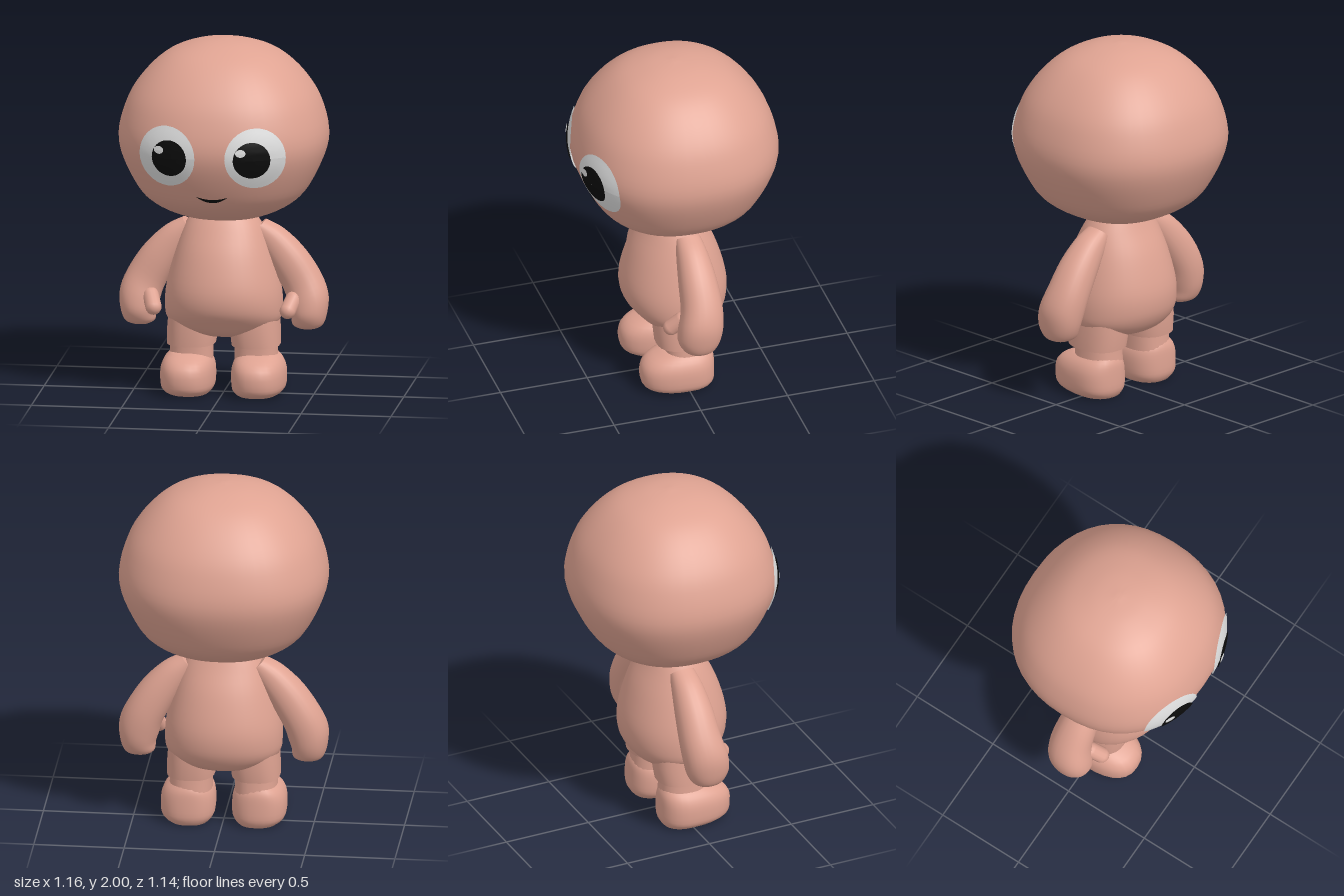
import * as THREE from 'three';
import { toCreasedNormals } from 'three/addons/utils/BufferGeometryUtils.js';

const material = (name, color, side = THREE.FrontSide) => {
  const m = new THREE.MeshStandardMaterial({ color, side });
  m.name = name;
  return m;
};

// Resample rows of ring values with a Catmull-Rom curve
function smoothRings(rings, steps = 4) {
  const out = [];
  for (let i = 0; i < rings.length - 1; i++) {
    const [a, b, c, d] = [i - 1, i, i + 1, i + 2].map(k => rings[Math.min(Math.max(k, 0), rings.length - 1)]);
    for (let s = 0; s < steps; s++) {
      const t = s / steps;
      out.push(b.map((v, k) => v + 0.5 * t * (c[k] - a[k] +
        t * (2 * a[k] - 5 * v + 4 * c[k] - d[k] + t * (3 * (v - c[k]) + d[k] - a[k])))));
    }
  }
  out.push(rings[rings.length - 1]);
  return out;
}

// Closed solid through rings [x, y, z, radiusX, radiusFront, radiusBack, tilt], top to bottom
function loft(rows, n = 2, seg = 32) {
  const pos = [], index = [];
  const bend = v => Math.sign(v) * Math.abs(v) ** (2 / n);
  for (const [x, y, z, rx, rf, rb, tilt] of rows) {
    for (let j = 0; j < seg; j++) {
      const a = j / seg * Math.PI * 2;
      const u = bend(Math.cos(a)) * rx, w = bend(Math.sin(a));
      pos.push(x + u * Math.cos(tilt), y + u * Math.sin(tilt), z + w * (w > 0 ? rf : rb));
    }
  }
  const last = (rows.length - 1) * seg, top = rows.length * seg;
  pos.push(...rows[0].slice(0, 3), ...rows[rows.length - 1].slice(0, 3));
  for (let j = 0; j < seg; j++) {
    const k = (j + 1) % seg;
    for (let r = 0; r < last; r += seg) {
      index.push(r + j, r + k, r + seg + j, r + k, r + seg + k, r + seg + j);
    }
    index.push(top, k, j, top + 1, last + j, last + k);
  }
  const g = new THREE.BufferGeometry();
  g.setAttribute('position', new THREE.Float32BufferAttribute(pos, 3));
  g.setIndex(index);
  return toCreasedNormals(g, 1.0);
}

// Head profile: height and radius
const HEAD_N = 2.25;
const headRows = smoothRings([
  [2.0, 0.005], [1.98, 0.155], [1.915, 0.315], [1.79, 0.45], [1.635, 0.54], [1.43, 0.576],
  [1.21, 0.49], [1.095, 0.39], [1.016, 0.22], [0.985, 0.02],
].map(([y, r]) => [0, y, 0, r, r * 0.98, r * 0.98, 0]), 5);

// Depth of the face at a given x and y
function faceZ(x, y) {
  const i = Math.max(1, headRows.findIndex(r => r[1] <= y));
  const a = headRows[i - 1], b = headRows[i];
  const r = THREE.MathUtils.lerp(a[3], b[3], (a[1] - y) / (a[1] - b[1]));
  return 0.98 * r * Math.max(0, 1 - (Math.abs(x) / r) ** HEAD_N) ** (1 / HEAD_N);
}

// Thin patch that follows the face; place(u, v) returns [x, y]
function facePatch(place, lift, nu, nv) {
  const pos = [], index = [];
  for (let i = 0; i <= nu; i++) {
    for (let j = 0; j <= nv; j++) {
      const [x, y] = place(i / nu, j / nv);
      pos.push(x, y, faceZ(x, y) + lift);
      if (i < nu && j < nv) {
        const a = i * (nv + 1) + j, b = a + nv + 1;
        index.push(a, b, b + 1, a, b + 1, a + 1);
      }
    }
  }
  const g = new THREE.BufferGeometry();
  g.setAttribute('position', new THREE.Float32BufferAttribute(pos, 3));
  g.setIndex(index);
  g.computeVertexNormals();
  return g;
}

const faceDisc = (cx, cy, rx, ry, lift) => facePatch((u, v) => {
  const a = -u * Math.PI * 2, r = Math.max(v, 0.01);
  return [cx + Math.cos(a) * rx * r, cy + Math.sin(a) * ry * r];
}, lift, 32, 7);

export function createModel() {
  const model = new THREE.Group();
  model.name = 'figure';
  const skin = material('skin', 0xdfa392);
  const white = material('eye white', 0xe0e0e0, THREE.DoubleSide);
  const black = material('black', 0x0c0c0c, THREE.DoubleSide);
  const add = (name, geometry, mat = skin) => {
    const mesh = new THREE.Mesh(geometry, mat);
    mesh.name = name;
    model.add(mesh);
    return mesh;
  };

  add('head', loft(headRows, HEAD_N, 48));

  // Pear-shaped torso: height, half width, front depth, back depth
  add('torso', loft(smoothRings([
    [1.02, 0.17, 0.13, 0.13], [0.94, 0.22, 0.18, 0.165], [0.8, 0.27, 0.25, 0.23],
    [0.62, 0.315, 0.3, 0.28], [0.5, 0.325, 0.29, 0.28], [0.42, 0.31, 0.235, 0.25],
    [0.365, 0.24, 0.18, 0.2], [0.335, 0.14, 0.11, 0.13],
  ].map(([y, rx, f, b]) => [0, y, 0, rx, f, b, 0])), 2.1, 40));

  // Smile
  add('mouth', facePatch((u, v) => {
    const s = 2 * u - 1;
    return [s * 0.088, 1.168 + 0.037 * s * s + v * 0.02 * (1 - s * s)];
  }, 0.007, 20, 2), black);

  for (const s of [1, -1]) {
    const side = s > 0 ? 'left' : 'right';
    const mirror = rings => rings.map(([x, y, z, rx, f, b, t = 0]) => [x * s, y, z, rx, f, b, t * s]);

    // Eye
    add(side + 'EyeWhite', faceDisc(s * 0.245, 1.435, 0.162, 0.172, 0.009), white);
    add(side + 'Pupil', faceDisc(s * 0.23, 1.43, 0.1, 0.103, 0.017), black);
    add(side + 'EyeGlint', faceDisc(s * 0.23 - 0.058, 1.475, 0.028, 0.022, 0.022), white);

    // Arm with closed hand
    add(side + 'Arm', loft(smoothRings(mirror([
      [0.19, 0.94, -0.02, 0.055, 0.07, 0.07, 0.75], [0.265, 0.87, -0.02, 0.085, 0.085, 0.09, 0.75],
      [0.355, 0.76, -0.02, 0.105, 0.1, 0.11, 0.7], [0.43, 0.64, -0.02, 0.112, 0.11, 0.12, 0.6],
      [0.468, 0.54, -0.005, 0.115, 0.12, 0.13, 0.35], [0.475, 0.46, 0, 0.1, 0.12, 0.12, 0.1],
      [0.467, 0.4, 0, 0.085, 0.09, 0.09, 0], [0.465, 0.378, 0, 0.05, 0.05, 0.05, 0],
    ])), 2.2, 24));
    const thumb = add(side + 'Thumb', new THREE.CapsuleGeometry(0.045, 0.08, 6, 14));
    thumb.position.set(s * 0.385, 0.525, 0.105);
    thumb.quaternion.setFromUnitVectors(new THREE.Vector3(0, 1, 0),
      new THREE.Vector3(s * 0.03, 0.07, -0.07).normalize());

    // Short trouser leg, ankle and rounded shoe
    add(side + 'Thigh', loft(mirror([
      [0.17, 0.5, 0, 0.13, 0.17, 0.18], [0.173, 0.38, 0, 0.138, 0.17, 0.18],
      [0.18, 0.28, 0, 0.134, 0.16, 0.165],
    ]), 2.5, 28));
    add(side + 'Ankle', loft(mirror([
      [0.18, 0.32, 0, 0.118, 0.125, 0.145], [0.18, 0.24, 0, 0.118, 0.115, 0.145],
      [0.185, 0.12, 0, 0.125, 0.12, 0.155],
    ]), 2.4, 28));
    add(side + 'Shoe', loft(smoothRings(mirror([
      [0.195, 0.235, 0, 0.095, 0.12, 0.14], [0.195, 0.2, 0, 0.13, 0.205, 0.155],
      [0.197, 0.145, 0, 0.149, 0.25, 0.16], [0.197, 0.06, 0, 0.149, 0.25, 0.16],
      [0.195, 0.025, 0, 0.135, 0.225, 0.15], [0.19, 0.003, 0, 0.11, 0.17, 0.135],
    ]), 3), 2.4, 28));
  }
  return model;
}
